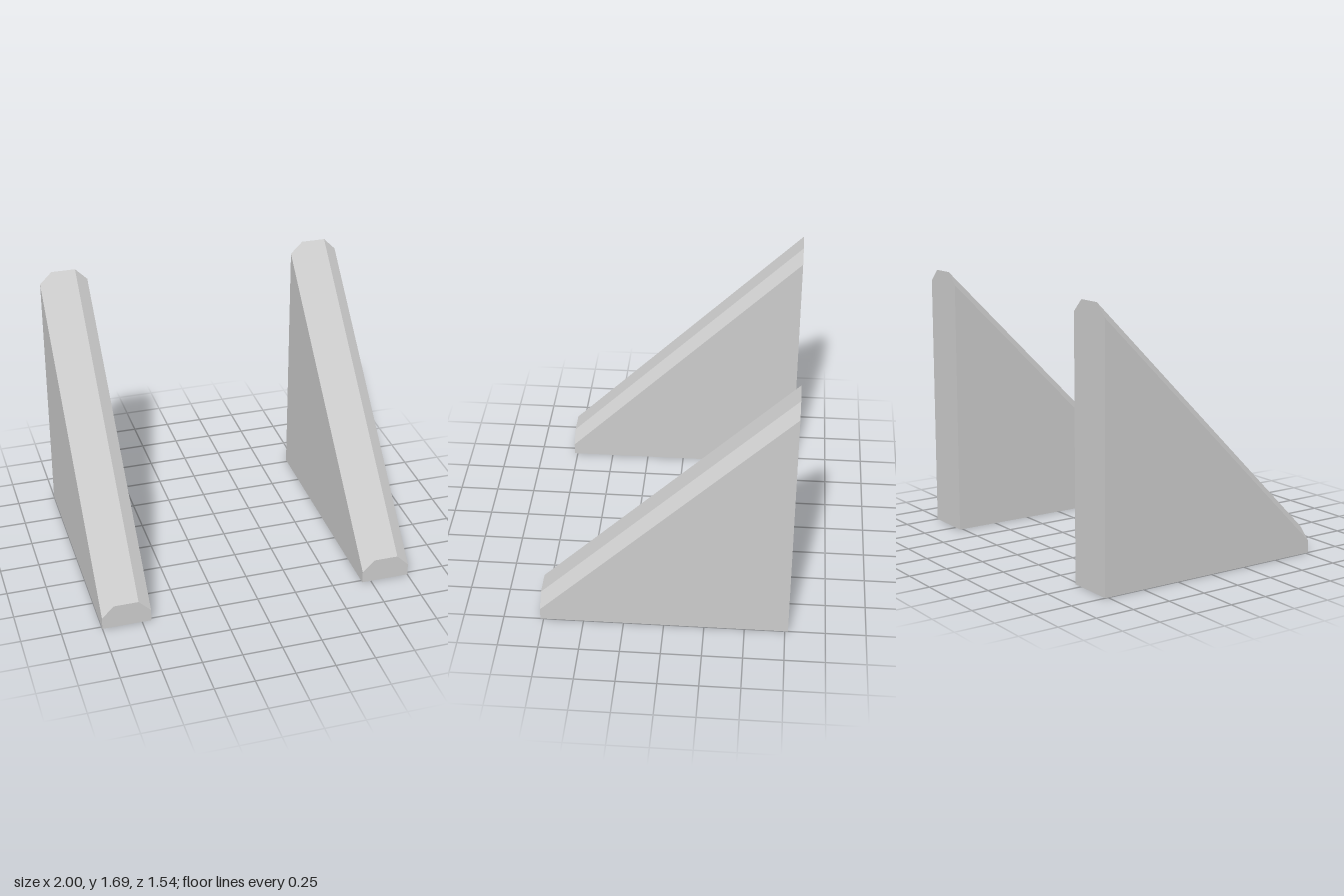
import * as THREE from 'three';

const WIDTH = 0.308;   // width of one wall
const CHAMFER = 0.077; // bevel along the top edges
const DEPTH = 1.54;    // front to back
const LIP = 0.155;     // height at the front end

// Chamfered cross-section, extruded backwards and sheared up at 45 degrees
function slopedWallGeometry() {
  const h = WIDTH / 2;
  const section = new THREE.Shape([
    new THREE.Vector2(-h, 0),
    new THREE.Vector2(h, 0),
    new THREE.Vector2(h, LIP - CHAMFER),
    new THREE.Vector2(h - CHAMFER, LIP),
    new THREE.Vector2(-h + CHAMFER, LIP),
    new THREE.Vector2(-h, LIP - CHAMFER),
  ]);
  const geometry = new THREE.ExtrudeGeometry(section, { depth: DEPTH, bevelEnabled: false });
  geometry.translate(0, 0, -DEPTH / 2);

  // Raise everything but the flat base towards the back
  const pos = geometry.attributes.position;
  for (let i = 0; i < pos.count; i++) {
    if (pos.getY(i) > 0.001) pos.setY(i, pos.getY(i) + DEPTH / 2 - pos.getZ(i));
  }
  geometry.computeVertexNormals();
  return geometry;
}

export function createModel() {
  const model = new THREE.Group();
  model.name = 'slopedSideWalls';
  const material = new THREE.MeshStandardMaterial({ color: 0xcccccc, flatShading: true });
  const geometry = slopedWallGeometry();

  // Matching pair of walls, one on each side
  for (const [name, side] of [['leftWall', 1], ['rightWall', -1]]) {
    const wall = new THREE.Mesh(geometry, material);
    wall.name = name;
    wall.position.x = side * (1 - WIDTH / 2);
    model.add(wall);
  }
  return model;
}
